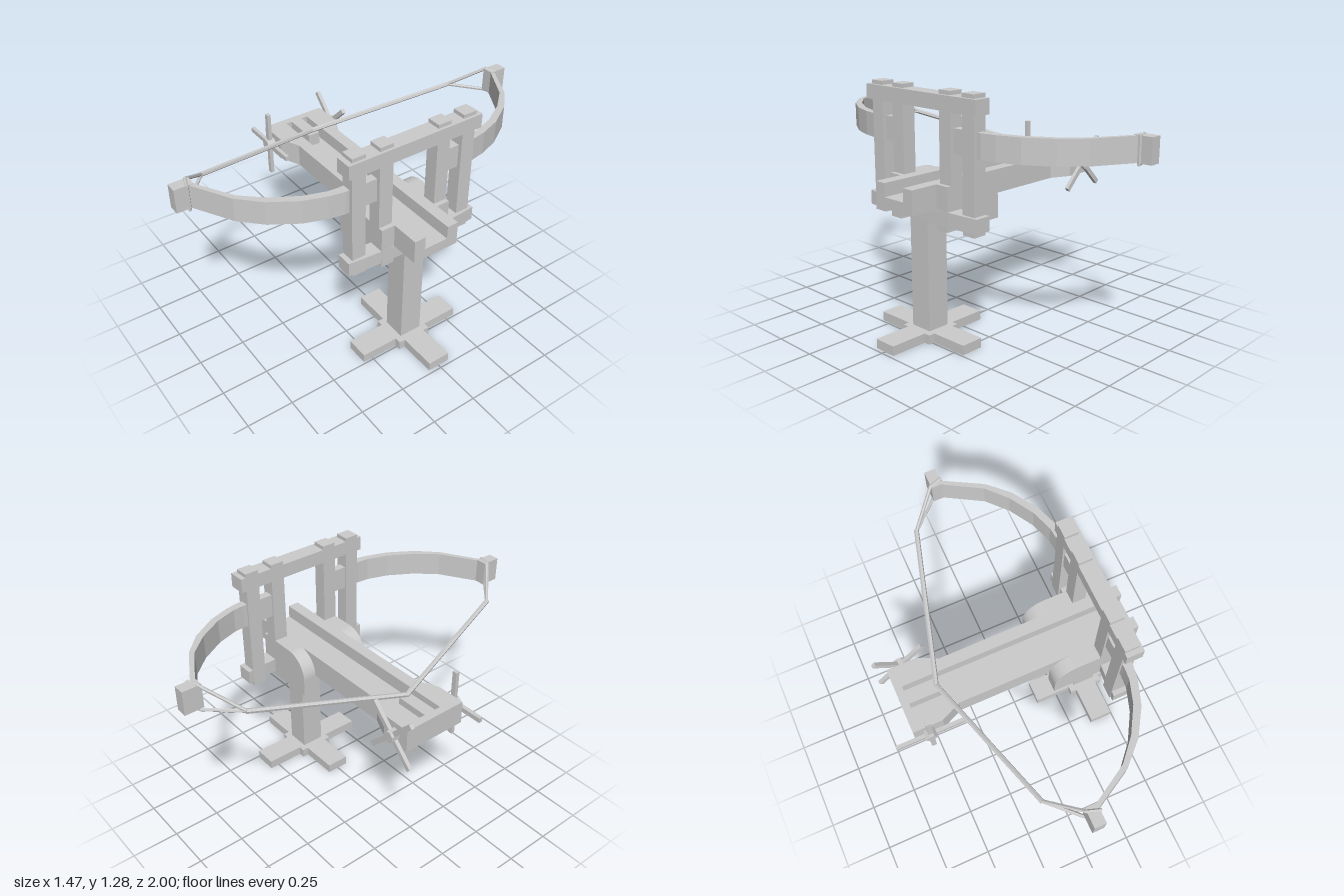
import * as THREE from 'three';

const mat = new THREE.MeshStandardMaterial({ color: 0xcccccc, flatShading: true });
const openMat = new THREE.MeshStandardMaterial({ color: 0xcccccc, flatShading: true, side: THREE.DoubleSide });

function add(parent, name, geometry, material = mat) {
  const mesh = new THREE.Mesh(geometry, material);
  mesh.name = name;
  parent.add(mesh);
  return mesh;
}

// Box given by its extents on each axis
function box(parent, name, [x0, x1], [y0, y1], [z0, z1]) {
  const mesh = add(parent, name, new THREE.BoxGeometry(x1 - x0, y1 - y0, z1 - z0));
  mesh.position.set((x0 + x1) / 2, (y0 + y1) / 2, (z0 + z1) / 2);
  return mesh;
}

// Plan outline of [x, z] points raised from y0 to y1
function plan(points, y0, y1) {
  const shape = new THREE.Shape(points.map(([x, z]) => new THREE.Vector2(x, z)));
  return new THREE.ExtrudeGeometry(shape, { depth: y1 - y0, bevelEnabled: false })
    .rotateX(Math.PI / 2).translate(0, y1, 0);
}

// Closes a half outline by mirroring it across z = 0
const mirrored = (half) => [...half, ...half.map(([x, z]) => [x, -z]).reverse()];

// Straight piece of cord between two points
function strand(parent, name, a, b, radius) {
  const from = new THREE.Vector3(...a), to = new THREE.Vector3(...b);
  const dir = to.clone().sub(from);
  const mesh = add(parent, name, new THREE.CylinderGeometry(radius, radius, dir.length() + radius, 6));
  mesh.position.copy(from).add(to).multiplyScalar(0.5);
  mesh.quaternion.setFromUnitVectors(new THREE.Vector3(0, 1, 0), dir.normalize());
}

// Drops the faces lying on the ground
function openBottom(geometry) {
  const p = geometry.attributes.position, kept = [];
  for (let i = 0; i < p.count; i += 3) {
    if (Math.max(p.getY(i), p.getY(i + 1), p.getY(i + 2)) < 0.001) continue;
    for (let j = i; j < i + 3; j++) kept.push(p.getX(j), p.getY(j), p.getZ(j));
  }
  const g = new THREE.BufferGeometry();
  g.setAttribute('position', new THREE.Float32BufferAttribute(kept, 3));
  g.computeVertexNormals();
  return g;
}

export function createModel() {
  const model = new THREE.Group();
  model.name = 'ballista';

  // Cross-shaped foot, hollow beneath, with small corner blocks at the hub
  const L = 0.303, w = 0.0625, h = 0.097, cx = 0.427;
  const foot = [];
  for (let k = 0; k < 4; k++) {
    const c = [1, 0, -1, 0][k], s = [0, 1, 0, -1][k];
    for (const [x, z] of [[L, -w], [L, w], [h, w], [h, h], [w, h]]) {
      foot.push([cx + c * x - s * z, s * x + c * z]);
    }
  }
  add(model, 'foot', openBottom(plan(foot, 0, 0.05)), openMat);
  box(model, 'post', [cx - w, cx + w], [0, 0.705], [-w, w]);

  // Stock: solid floor, then a layer cut by the bolt channel and two slots
  const outer = [[0.645, 0.13], [-0.36, 0.13], [-0.47, 0.18], [-0.63, 0.18]];
  add(model, 'stockFloor', plan(mirrored(outer), 0.705, 0.76));
  const channel = [[-0.41, 0.033], [-0.59, 0.033], [-0.59, 0.067], [0.645, 0.067]];
  add(model, 'stockTop', plan(mirrored([...channel, ...outer]), 0.76, 0.83));

  // Cheek plates beside the stock, rounded at the rear top corner
  const cheek = new THREE.Shape();
  cheek.moveTo(0.49, 0.605);
  cheek.lineTo(0.49, 0.83);
  cheek.lineTo(0.265, 0.83);
  cheek.absarc(0.265, 0.705, 0.125, Math.PI / 2, Math.PI, false);
  cheek.lineTo(0.14, 0.605);
  for (const z of [0.13, -0.205]) {
    add(model, 'cheekPlate', new THREE.ExtrudeGeometry(cheek,
      { depth: 0.075, bevelEnabled: false, curveSegments: 8 }).translate(0, 0, z));
  }

  // Frame of four uprights, a straight top beam and a slightly bowed lower beam
  const frame = new THREE.Group();
  frame.name = 'frame';
  model.add(frame);
  for (const z of [-0.32, -0.167, 0.167, 0.32]) {
    box(frame, 'upright', [0.39, 0.465], [0.605, 1.28], [z - 0.038, z + 0.038]);
  }
  box(frame, 'topBeam', [0.39, 0.48], [1.185, 1.26], [-0.385, 0.385]);
  const front = [], back = [];
  for (let i = 0; i <= 8; i++) {
    const t = i / 4 - 1, bulge = 0.02 * (1 - t * t);
    front.push([0.475 + bulge, 0.385 * t]);
    back.unshift([0.39 + bulge, 0.385 * t]);
  }
  add(frame, 'lowerBeam', plan([...front, ...back], 0.63, 0.705));

  // Bow arms with tip blocks, and the cord looped around each tip
  const arm = [
    [0.445, 0.2], [0.445, 0.38], [0.43, 0.46], [0.39, 0.575], [0.305, 0.71], [0.2, 0.812], [-0.02, 0.935],
    [-0.02, 0.91], [0.185, 0.79], [0.28, 0.685], [0.357, 0.555], [0.395, 0.44], [0.4, 0.38], [0.4, 0.2],
  ];
  for (const s of [1, -1]) {
    const side = new THREE.Group();
    side.name = s > 0 ? 'leftBow' : 'rightBow';
    model.add(side);
    add(side, 'bowArm', plan(arm.map(([x, z]) => [x, s * z]), 0.98, 1.105));
    const tip = box(side, 'bowTip', [-0.06, 0], [0.98, 1.108], [0.9, 1]);
    tip.position.z *= s;
    const loop = [
      [-0.21, 0.985, 0.77], [-0.06, 1.105, 0.915], [0, 1.105, 0.935],
      [0, 0.975, 0.935], [-0.06, 0.975, 0.915], [-0.21, 0.985, 0.77],
    ].map(([x, y, z]) => [x, y, s * z]);
    for (let i = 0; i < 5; i++) strand(side, 'cordLoop', loop[i], loop[i + 1], 0.009);
    strand(side, 'bowCord', loop[0], [-0.43, 0.845, 0], 0.013);
  }

  // Four-spoked winch handles, one turned by an eighth
  for (const s of [1, -1]) {
    const winch = new THREE.Group();
    winch.name = s > 0 ? 'leftWinch' : 'rightWinch';
    winch.position.set(-0.55, 0.77, s * 0.203);
    winch.rotation.z = s > 0 ? 0 : Math.PI / 4;
    model.add(winch);
    add(winch, 'hub', new THREE.CylinderGeometry(0.032, 0.032, 0.05, 8)
      .rotateY(Math.PI / 8).rotateX(Math.PI / 2));
    box(winch, 'spokes', [-0.185, 0.185], [-0.013, 0.013], [-0.01, 0.01]);
    box(winch, 'spokes', [-0.013, 0.013], [-0.185, 0.185], [-0.01, 0.01]);
  }

  return model;
}
